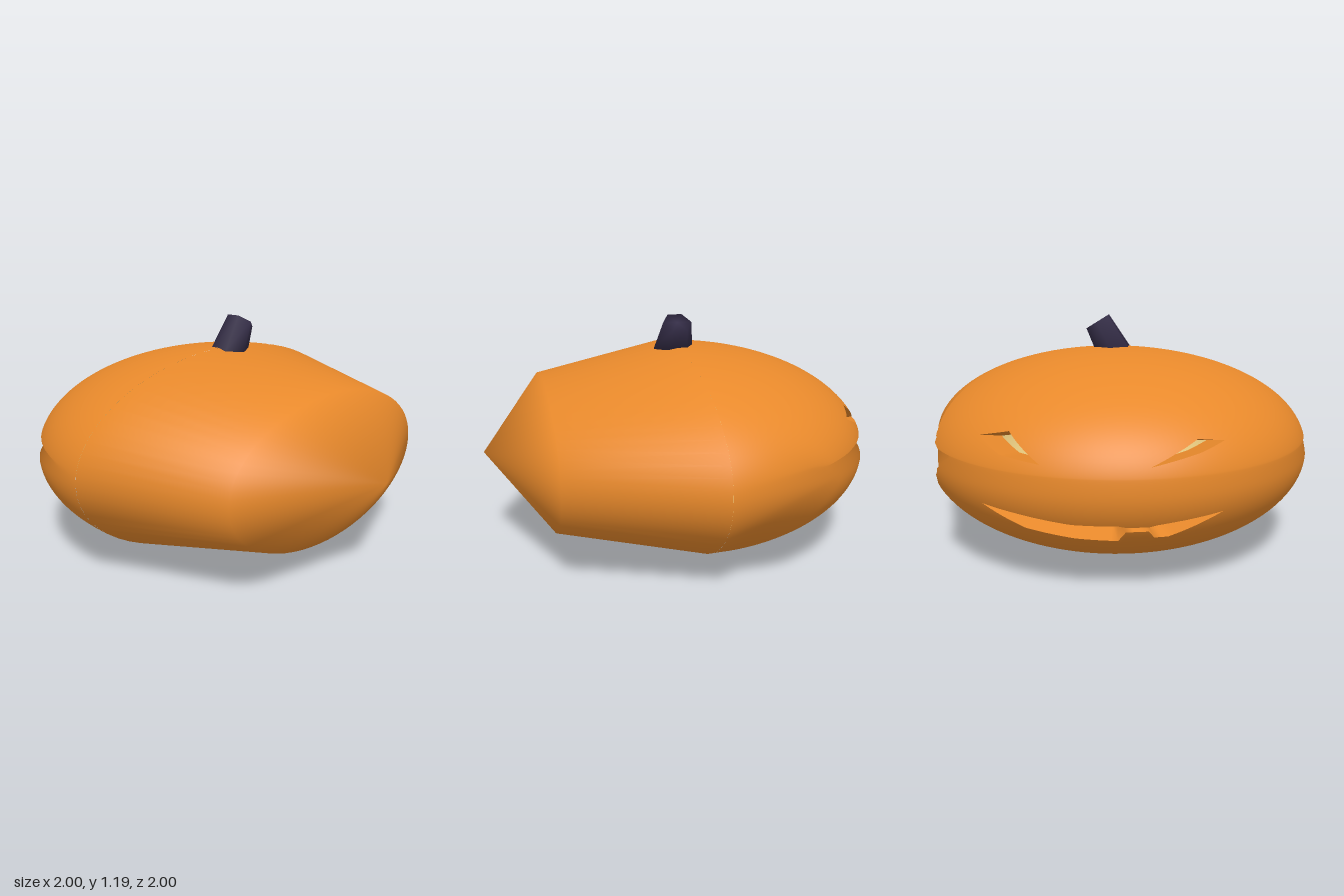
import * as THREE from 'three';
import { mergeGeometries, mergeVertices } from 'three/addons/utils/BufferGeometryUtils.js';

const CY = 0.522, HY = 0.517, INNER = 0.86;
const rad = THREE.MathUtils.degToRad;

// Grid surface over u, v in 0..1; outward side is du x dv.
// Normals follow the squashed sphere unless computed from the faces.
function grid(point, nu, nv, round = true) {
  const pos = [], index = [];
  for (let j = 0; j <= nv; j++)
    for (let i = 0; i <= nu; i++) pos.push(...point(i / nu, j / nv));
  for (let j = 0; j < nv; j++)
    for (let i = 0; i < nu; i++) {
      const a = j * (nu + 1) + i, b = a + 1, c = a + nu + 1, d = c + 1;
      index.push(a, b, d, a, d, c);
    }
  const geo = new THREE.BufferGeometry();
  geo.setAttribute('position', new THREE.Float32BufferAttribute(pos, 3));
  geo.setIndex(index);
  geo.computeVertexNormals();
  if (round) {
    const n = new THREE.Vector3();
    for (let k = 0; k < pos.length / 3; k++) {
      n.set(pos[3 * k], (pos[3 * k + 1] - CY) / HY ** 2, pos[3 * k + 2]).normalize();
      geo.attributes.normal.setXYZ(k, n.x, n.y, n.z);
    }
  }
  return geo;
}

// The left flank is a flat fan from the widest rim to one point behind it,
// easing back into the round body above and below
function flankScale(x, y, z) {
  const across = x + z * 0.8 / 0.6;
  if (across <= 0) return 1;
  const flat = 1 / (Math.hypot(across, y) - z / 0.6);
  const ease = THREE.MathUtils.smoothstep(Math.abs(Math.atan2(y, across)), rad(20), rad(55));
  return THREE.MathUtils.lerp(Math.min(flat, 1), 1, ease);
}

// Narrow crease around the middle of the carved half, fading to both sides
const crease = (lon, lat) => 1 - 0.11 * Math.cos(rad(lon)) * Math.exp(-(((lat - 4) / 3) ** 2));

// Point on the back half: longitude from the back centre, latitude, scale
function onBack(lon, lat, scale = 1) {
  const a = rad(lon), b = rad(lat);
  const x = Math.sin(a) * Math.cos(b), y = Math.sin(b), z = -Math.cos(a) * Math.cos(b);
  const s = scale * flankScale(x, y, z) * crease(lon, lat);
  return [s * x, CY + s * HY * y, s * z];
}

// Openings as rows of [longitude, lower latitude, upper latitude]
const mouth = [[-90, -8, -8], [-34, -12, -12], [-20, -25, -15], [-16, -25, -16], [-14, -20, -17],
  [-8, -20, -17], [-6, -27, -16], [6, -26, -16], [20, -22, -13], [32, -11, -11], [90, -8, -8]];
const eyes = [[-90, 20, 20], [-36, 22, 22], [-28, 18, 24], [-14, 13, 13],
  [14, 13, 13], [26, 15, 26], [36, 22, 22], [90, 20, 20]];

function edge(rows, lon, side) {
  const i = Math.max(1, rows.findIndex(r => r[0] >= lon));
  const p = rows[i - 1], q = rows[i];
  return THREE.MathUtils.lerp(p[side], q[side], (lon - p[0]) / (q[0] - p[0]));
}

export function createModel() {
  const group = new THREE.Group();
  const skin = new THREE.MeshStandardMaterial({ color: 0xe8892b });
  const rind = new THREE.MeshStandardMaterial({ color: 0xe8892b, side: THREE.DoubleSide });
  const flesh = new THREE.MeshStandardMaterial({ color: 0xe3c67c, side: THREE.BackSide });
  const dark = new THREE.MeshStandardMaterial({ color: 0x322b45 });
  const add = (name, geo, mat) => {
    const mesh = new THREE.Mesh(geo, mat);
    mesh.name = name;
    group.add(mesh);
  };

  // Plain half: two coarse bands rising to a blunt point
  const rings = [[0, 1], [0.69, 0.725], [1, 0]];
  add('plainHalf', grid((u, v) => {
    const [z, r] = rings[Math.round(v * 2)], t = u * Math.PI * 2;
    return [r * Math.cos(t), CY + HY * r * Math.sin(t), z];
  }, 64, 2), skin);

  // Carved half: bands of skin below, between and above the openings
  const bands = [
    [() => -90, a => edge(mouth, a, 1), 32],
    [a => edge(mouth, a, 2), a => edge(eyes, a, 1), 28],
    [a => edge(eyes, a, 2), () => 90, 32],
  ];
  add('carvedHalf', mergeGeometries(bands.map(([lo, hi, rows]) => grid((u, v) => {
    const lon = 90 - 180 * u;
    return onBack(lon, THREE.MathUtils.lerp(lo(lon), hi(lon), v));
  }, 90, rows))), skin);

  // Thickness of the rind around each opening
  const cuts = [
    ['mouthRim', mouth, -34, 32],
    ['leftEyeRim', eyes, 14, 36],
    ['rightEyeRim', eyes, -36, -14],
  ];
  for (const [name, rows, from, to] of cuts) {
    const lips = [1, 2].map(side => grid((u, v) => {
      const lon = THREE.MathUtils.lerp(from, to, u);
      return onBack(lon, edge(rows, lon, side), 1 - v * (1 - INNER));
    }, (to - from) / 2, 1, false));
    add(name, mergeGeometries(lips), rind);
  }

  // Pale hollow inside, seen only through the openings
  const hollow = new THREE.SphereGeometry(INNER, 40, 24);
  hollow.scale(1, HY, 1).translate(0, CY, 0);
  add('hollow', hollow, flesh);

  // Six-sided stem leaning to the left, with a slanted top and soft edges
  let stem = new THREE.CylinderGeometry(0.075, 0.105, 1, 6);
  const p = stem.attributes.position;
  for (let i = 0; i < p.count; i++) {
    const x = p.getX(i), z = p.getZ(i);
    if (p.getY(i) > 0) p.setXYZ(i, 0.098 + x * 0.85, 1.165 - x * 0.53, z);
    else p.setXYZ(i, 0.014 + x, 1.02, z);
  }
  stem.deleteAttribute('normal');
  stem.deleteAttribute('uv');
  stem = mergeVertices(stem);
  stem.computeVertexNormals();
  add('stem', stem, dark);

  return group;
}
